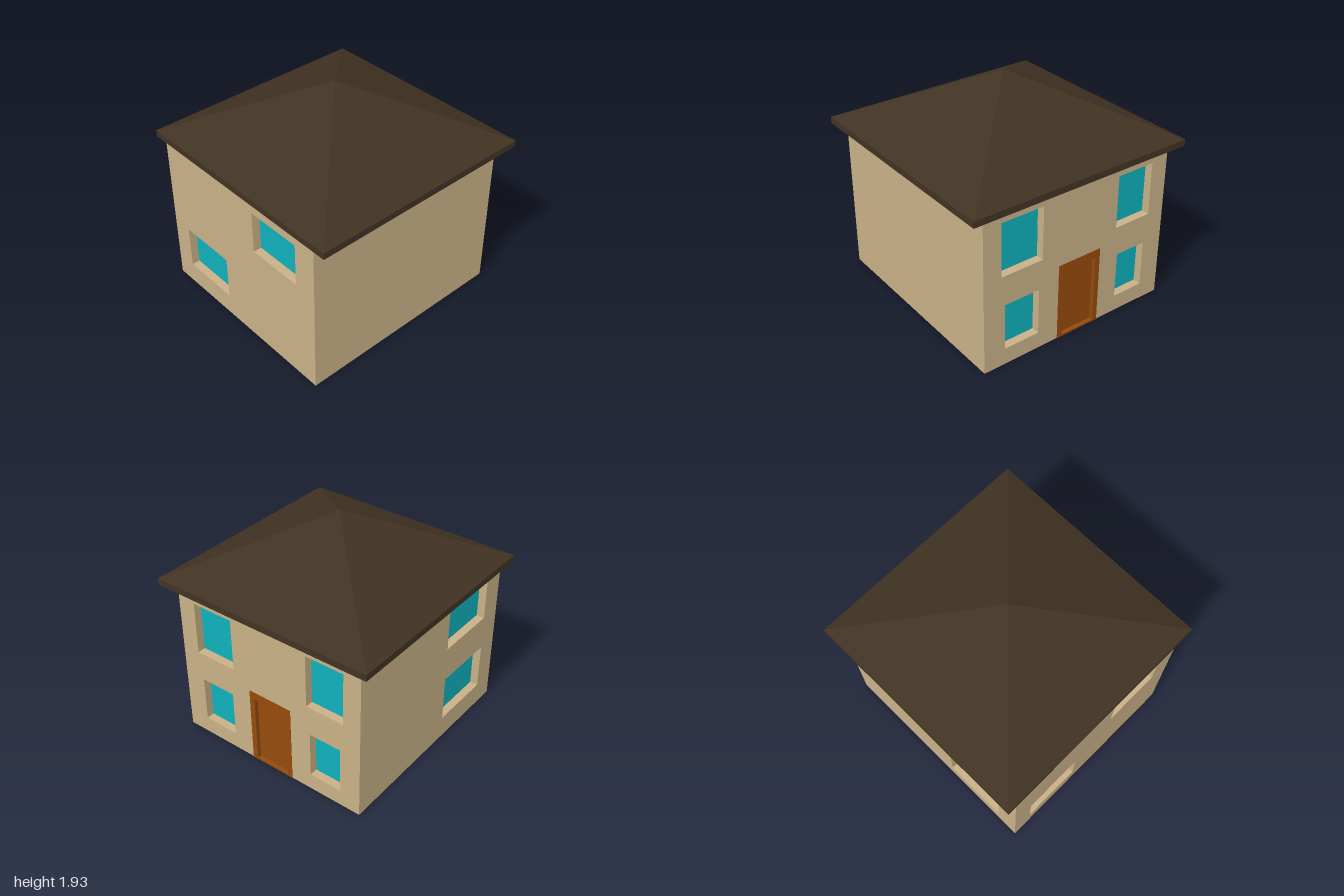
import * as THREE from 'three';

const mat = (name, color) => {
  const m = new THREE.MeshStandardMaterial({ color });
  m.name = name;
  return m;
};

const WALL_H = 1.375, EAVE_H = 0.055, TOP = 1.93;
const X0 = -0.98, X1 = 0.92, Z0 = -0.9, Z1 = 0.87;
const RECESS = 0.07;

export function createModel() {
  const tan = mat('tanWall', 0xc9b187);
  const cyan = mat('cyanGlass', 0x0fb1bd);
  const brown = mat('orangeBrownDoor', 0x954b0c);
  const dark = mat('darkBrownRoof', 0x413323);

  const house = new THREE.Group();
  house.name = 'house';

  const add = (parent, name, geo, material, x = 0, y = 0, z = 0) => {
    const mesh = new THREE.Mesh(geo, material);
    mesh.name = name;
    mesh.position.set(x, y, z);
    parent.add(mesh);
    return mesh;
  };

  // Rectangle outline from [left, right, bottom, top]
  const rect = ([l, r, b, t], Type = THREE.Shape) => new Type([
    new THREE.Vector2(l, b), new THREE.Vector2(r, b),
    new THREE.Vector2(r, t), new THREE.Vector2(l, t),
  ]);

  // Recessed window: glass pane and four reveals facing the opening
  function addWindow(wall, [l, r, b, t]) {
    const win = new THREE.Group();
    win.name = 'window';
    const w = r - l, h = t - b, cx = (l + r) / 2, cy = (b + t) / 2;
    add(win, 'glass', new THREE.PlaneGeometry(w, h), cyan, cx, cy, -RECESS);
    const d = -RECESS / 2;
    add(win, 'sill', new THREE.PlaneGeometry(w, RECESS), tan, cx, b, d).rotation.x = -Math.PI / 2;
    add(win, 'lintel', new THREE.PlaneGeometry(w, RECESS), tan, cx, t, d).rotation.x = Math.PI / 2;
    add(win, 'leftJamb', new THREE.PlaneGeometry(RECESS, h), tan, l, cy, d).rotation.y = Math.PI / 2;
    add(win, 'rightJamb', new THREE.PlaneGeometry(RECESS, h), tan, r, cy, d).rotation.y = -Math.PI / 2;
    wall.add(win);
  }

  // Wall in its own plane: x runs right seen from outside, z points outward
  function addWall(name, l, r, x, z, turn, windows = [], doorway = null) {
    const wall = new THREE.Group();
    wall.name = name;
    wall.position.set(x, 0, z);
    wall.rotation.y = turn;
    const shape = rect([l, r, 0, WALL_H]);
    for (const o of doorway ? [...windows, doorway] : windows) shape.holes.push(rect(o, THREE.Path));
    add(wall, name + 'Face', new THREE.ShapeGeometry(shape), tan);
    windows.forEach((o) => addWindow(wall, o));
    house.add(wall);
    return wall;
  }

  addWall('frontWall', X0, X1, 0, Z1, 0);
  addWall('backWall', -X1, -X0, 0, Z0, Math.PI, [
    [0.225, 0.785, 0.195, 0.595],
    [0.225, 0.785, 0.895, 1.29],
  ]);
  addWall('rightWall', Z0, Z1, X0, 0, -Math.PI / 2, [
    [-0.72, -0.2, 0.19, 0.575],
    [0.18, 0.67, 0.91, 1.28],
  ]);
  const doorway = [-0.12, 0.195, 0.015, 0.62];
  const doorWall = addWall('leftWall', -Z1, -Z0, X1, 0, Math.PI / 2, [
    [-0.71, -0.33, 0.81, 1.27],
    [0.4, 0.745, 0.81, 1.27],
    [-0.68, -0.36, 0.145, 0.55],
    [0.43, 0.715, 0.145, 0.55],
  ], doorway);

  // Door set back inside its frame
  const frame = rect([-0.17, 0.24, 0, 0.685]);
  frame.holes.push(rect(doorway, THREE.Path));
  add(doorWall, 'doorFrame',
    new THREE.ExtrudeGeometry(frame, { depth: 0.034, bevelEnabled: false }), brown, 0, 0, -0.03);
  const [l, r, b, t] = doorway;
  add(doorWall, 'door', new THREE.PlaneGeometry(r - l, t - b), brown,
    (l + r) / 2, (b + t) / 2, -0.03);

  // Underside of the house
  add(house, 'floor', new THREE.PlaneGeometry(X1 - X0, Z1 - Z0), tan,
    (X0 + X1) / 2, 0, (Z0 + Z1) / 2).rotation.x = Math.PI / 2;

  // Roof: square eaves slab with a pyramid on top
  add(house, 'eaves', new THREE.BoxGeometry(2, EAVE_H, 2), dark, 0, WALL_H + EAVE_H / 2, 0);
  const rise = TOP - WALL_H - EAVE_H;
  const pyramid = new THREE.ConeGeometry(Math.SQRT2, rise, 4, 1, true)
    .rotateY(Math.PI / 4).toNonIndexed();
  pyramid.computeVertexNormals();
  add(house, 'roof', pyramid, dark, 0, TOP - rise / 2, 0);

  return house;
}
